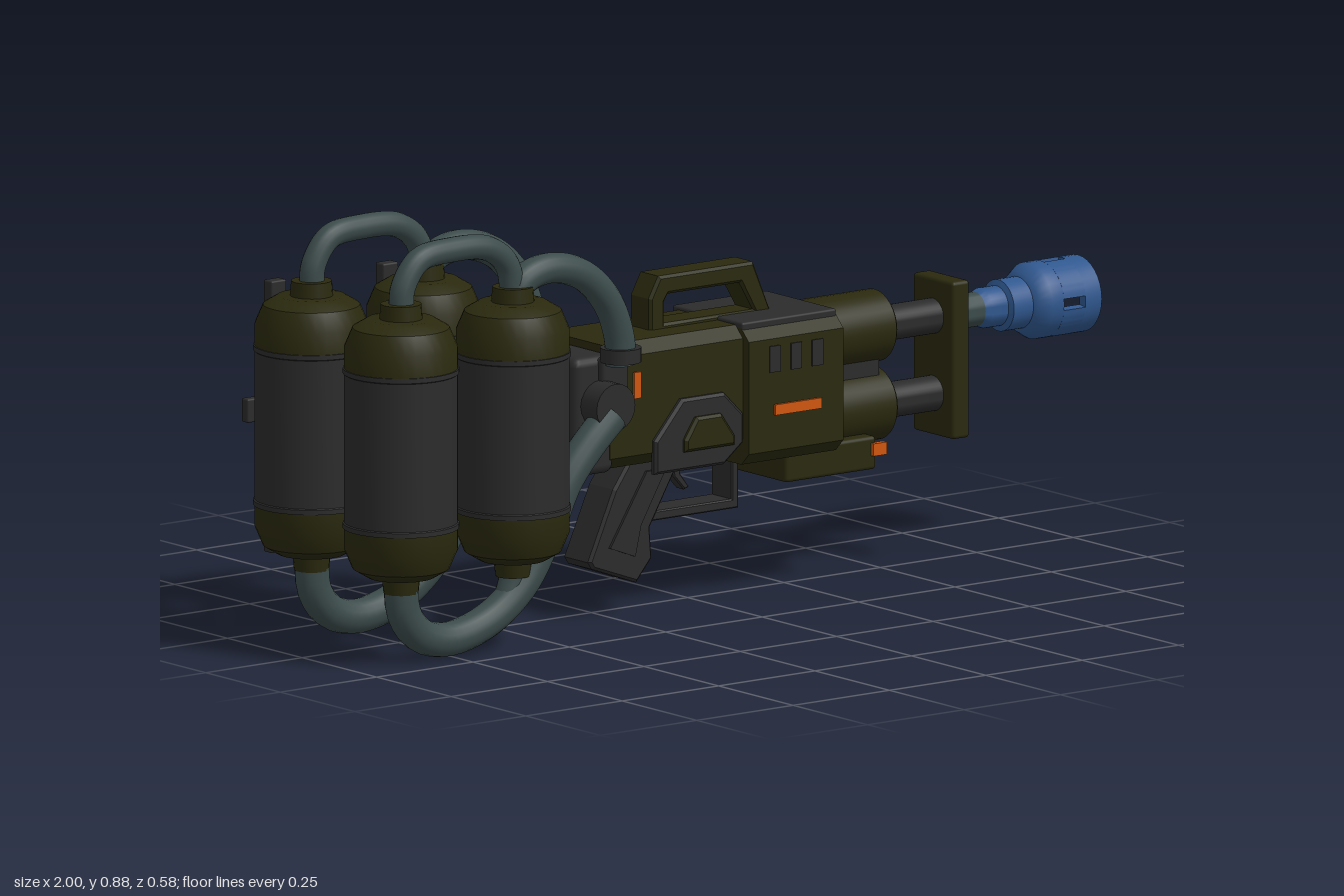
import * as THREE from 'three';
import { toCreasedNormals } from 'three/addons/utils/BufferGeometryUtils.js';
import { RoundedBoxGeometry } from 'three/addons/geometries/RoundedBoxGeometry.js';

const mat = (name, color, side = THREE.FrontSide) =>
  Object.assign(new THREE.MeshStandardMaterial({ color, side }), { name });

export function createModel() {
  const olive = mat('olive', 0x2a290e);
  const dark = mat('dark grey', 0x2b2b2b);
  const teal = mat('hose grey', 0x3c4b4b);
  const blue = mat('nozzle blue', 0x30588f);
  const orange = mat('orange', 0xd0560f);
  const root = new THREE.Group();
  root.name = 'tankFedBlaster';
  const gun = new THREE.Group();
  gun.name = 'gun';
  gun.position.z = 0.02;
  root.add(gun);

  const add = (parent, name, geo, material) => {
    const m = new THREE.Mesh(geo, material);
    m.name = name;
    parent.add(m);
    return m;
  };
  // Box given by its x, y and z limits
  const box = (parent, name, x0, x1, y0, y1, z0, z1, material, r = 0) => {
    const s = [x1 - x0, y1 - y0, z1 - z0];
    const geo = r ? new RoundedBoxGeometry(...s, 2, r) : new THREE.BoxGeometry(...s);
    geo.translate((x0 + x1) / 2, (y0 + y1) / 2, (z0 + z1) / 2);
    return add(parent, name, geo, material);
  };
  const vecs = pts => pts.map(p => new THREE.Vector2(...p));
  // Side profile in x, y, extruded to a centred width in z
  const slab = (parent, name, pts, width, material, z = 0, hole, bevel = 0.006) => {
    const shape = new THREE.Shape(vecs(pts));
    if (hole) shape.holes.push(new THREE.Path(vecs(hole)));
    const geo = new THREE.ExtrudeGeometry(shape, {
      depth: width - 2 * bevel, bevelEnabled: bevel > 0, bevelSize: bevel,
      bevelThickness: bevel, bevelOffset: -bevel, bevelSegments: 1,
    });
    geo.translate(0, 0, z - width / 2 + bevel);
    return add(parent, name, geo, material);
  };
  // Box along x with chamfered long edges
  const chamferBlock = (name, x0, x1, y0, y1, w, c, material) => {
    const h = w / 2;
    const shape = new THREE.Shape(vecs([[-h + c, y0], [h - c, y0], [h, y0 + c], [h, y1 - c],
      [h - c, y1], [-h + c, y1], [-h, y1 - c], [-h, y0 + c]]));
    const geo = new THREE.ExtrudeGeometry(shape, { depth: x1 - x0, bevelEnabled: false });
    geo.rotateY(Math.PI / 2).translate(x0, 0, 0);
    return add(gun, name, geo, material);
  };
  const lathe = (pts, n = 32) => toCreasedNormals(new THREE.LatheGeometry(vecs(pts), n), 0.6);
  // Turned part on the x axis; points are [radius, x] from back to front
  const turned = (name, pts, y, material) =>
    add(gun, name, lathe(pts).rotateZ(-Math.PI / 2).translate(0, y, 0), material);
  const rod = (name, x0, x1, r, y, material) =>
    turned(name, [[0, x0], [r - 0.006, x0], [r, x0 + 0.006], [r, x1 - 0.006], [r - 0.006, x1], [0, x1]]
      .map(([a, b]) => [b, a].reverse()), y, material);
  const hose = (name, pts, r) => {
    const curve = new THREE.CatmullRomCurve3(pts.map(p => new THREE.Vector3(...p)));
    return add(root, name, new THREE.TubeGeometry(curve, 40, r, 16), teal);
  };

  // Tanks: two pairs, with caps, necks and hoses
  const cap = [[0, 0.187], [0.07, 0.187], [0.1, 0.205], [0.117, 0.245], [0.117, 0.302]];
  const flipped = cap.map(([r, y]) => [r, 0.914 - y]).reverse();
  for (const z of [0.17, -0.13]) {
    for (const x of [-0.875, -0.585]) {
      const tank = new THREE.Group();
      tank.name = 'tank';
      tank.position.set(x, 0, z);
      root.add(tank);
      add(tank, 'tankBottomCap', lathe(cap), olive);
      add(tank, 'tankTopCap', lathe(flipped), olive);
      add(tank, 'tankBody', lathe([[0.112, 0.29], [0.12, 0.29], [0.12, 0.3], [0.117, 0.302],
        [0.117, 0.612], [0.12, 0.614], [0.12, 0.624], [0.112, 0.624]]), dark);
      add(tank, 'tankTopNeck', new THREE.CylinderGeometry(0.042, 0.045, 0.04, 20).translate(0, 0.738, 0), olive);
      add(tank, 'tankBottomNeck', new THREE.CylinderGeometry(0.04, 0.036, 0.04, 20).translate(0, 0.172, 0), olive);
    }
    hose('topLinkHose', [[-0.875, 0.74, z], [-0.87, 0.79, z], [-0.83, 0.842, z], [-0.75, 0.854, z],
      [-0.65, 0.845, z], [-0.6, 0.805, z], [-0.585, 0.74, z]], 0.026);
    hose('upperFeedHose', [[-0.585, 0.72, z], [-0.565, 0.762, z], [-0.5, 0.784, z], [-0.41, 0.762, z],
      [-0.34, 0.695, z], [-0.31, 0.62, z], [-0.305, 0.56, z]], 0.032);
    hose('lowerFeedHose', [[-0.875, 0.17, z], [-0.868, 0.11, z], [-0.83, 0.06, z], [-0.76, 0.04, z],
      [-0.65, 0.067, z], [-0.56, 0.135, z], [-0.5, 0.23, z], [-0.45, 0.33, z], [-0.39, 0.4, z],
      [-0.33, 0.455, z]], 0.036);
    hose('lowerBranchHose', [[-0.585, 0.18, z], [-0.587, 0.15, z], [-0.6, 0.11, z]], 0.027);
    add(root, 'upperHoseCollar', new THREE.CylinderGeometry(0.043, 0.043, 0.03, 20)
      .translate(-0.305, 0.58, z), dark);
    const s = Math.sign(z);
    add(root, 'lowerHoseSocket', new THREE.CylinderGeometry(0.05, 0.05, 0.07, 20)
      .rotateX(Math.PI / 2).translate(-0.335, 0.475, z - s * 0.012), dark);
    box(root, 'upperHoseBracket', -0.34, -0.27, 0.5, 0.57, z - s * 0.045 - 0.03, z - s * 0.045 + 0.03, dark, 0.008);
  }

  // Carrying frame behind the tanks
  for (const x of [-0.875, -0.585]) {
    box(root, 'frameUpright', x - 0.02, x + 0.02, 0.17, 0.74, -0.266, -0.238, dark, 0.004);
    add(root, 'frameBolt', new THREE.CylinderGeometry(0.012, 0.012, 0.014, 12)
      .rotateX(Math.PI / 2).translate(x, 0.47, -0.284), dark);
  }
  box(root, 'frameCrossbar', -0.94, -0.52, 0.445, 0.495, -0.282, -0.26, dark, 0.004);

  // Receiver, rear pad and front housing
  box(gun, 'rearPad', -0.4, -0.295, 0.325, 0.575, -0.12, 0.12, dark, 0.02);
  chamferBlock('receiver', -0.31, 0.05, 0.33, 0.59, 0.24, 0.025, olive);
  chamferBlock('housing', 0.035, 0.28, 0.3, 0.585, 0.28, 0.025, olive);
  box(gun, 'housingTop', 0.035, 0.28, 0.568, 0.597, -0.118, 0.118, dark, 0.005);
  for (const s of [1, -1]) {
    slab(gun, 'sidePlate', [[-0.2, 0.31], [-0.02, 0.31], [0.03, 0.35], [0.03, 0.41], [-0.02, 0.46],
      [-0.13, 0.46], [-0.2, 0.38]], 0.02, dark, s * 0.122);
    slab(gun, 'sideBoss', [[-0.13, 0.35], [0.0, 0.35], [0.0, 0.37], [-0.035, 0.42], [-0.1, 0.42], [-0.13, 0.375]],
      0.03, olive, s * 0.128);
    box(gun, 'rearMarker', -0.25, -0.232, 0.475, 0.53, s * 0.121 - 0.004, s * 0.121 + 0.004, orange);
    box(gun, 'sideMarker', 0.1, 0.22, 0.4, 0.422, s * 0.142 - 0.004, s * 0.142 + 0.004, orange);
    for (let i = 0; i < 3; i++) {
      const x = 0.088 + i * 0.055;
      box(gun, 'ventSlot', x, x + 0.028, 0.49, 0.545, s * 0.14 - 0.003, s * 0.14 + 0.003, dark);
    }
    // Grip inset
    slab(gun, 'gripPanel', [[-0.16, 0.3], [-0.255, 0.15], [-0.19, 0.125], [-0.175, 0.19], [-0.11, 0.3]],
      0.008, dark, s * 0.047, null, 0);
  }

  // Carry handle, grip, trigger and guard
  slab(gun, 'carryHandle', [[-0.14, 0.58], [0.18, 0.58], [0.13, 0.7], [-0.115, 0.7], [-0.14, 0.655]], 0.07, olive, 0,
    [[-0.1, 0.6], [-0.1, 0.645], [-0.09, 0.66], [0.095, 0.66], [0.13, 0.6]]);
  slab(gun, 'grip', [[-0.19, 0.34], [-0.24, 0.27], [-0.305, 0.125], [-0.295, 0.11], [-0.18, 0.068], [-0.14, 0.115],
    [-0.145, 0.18], [-0.08, 0.29], [-0.08, 0.34]], 0.09, dark);
  slab(gun, 'triggerGuard', [[-0.15, 0.19], [0.09, 0.19], [0.09, 0.33], [-0.12, 0.33]], 0.07, dark, 0,
    [[-0.12, 0.21], [0.072, 0.21], [0.072, 0.31], [-0.1, 0.31]], 0.003);
  slab(gun, 'trigger', [[-0.075, 0.32], [-0.04, 0.32], [-0.045, 0.275], [-0.022, 0.245], [-0.035, 0.24], [-0.062, 0.27]],
    0.03, dark, 0, null, 0.003);

  // Twin barrels, front plate and underslung box
  for (const [y, r] of [[0.52, 0.075], [0.358, 0.077]]) {
    rod('barrelSleeve', 0.27, 0.475, r, y, olive);
    rod('barrelRod', 0.46, 0.63, 0.037, y, dark);
  }
  box(gun, 'barrelBridge', 0.27, 0.45, 0.36, 0.52, -0.04, 0.04, dark);
  box(gun, 'frontPlate', 0.62, 0.665, 0.27, 0.6, -0.068, 0.068, olive, 0.008);
  box(gun, 'underBox', 0.17, 0.405, 0.24, 0.31, -0.09, 0.09, olive, 0.008);
  box(gun, 'underMarker', 0.39, 0.425, 0.27, 0.296, 0.085, 0.099, orange);

  // Nozzle: neck, stepped base and a slotted cup
  rod('nozzleNeck', 0.66, 0.74, 0.036, 0.52, teal);
  turned('nozzleBase', [[0, 0.73], [0.036, 0.73], [0.042, 0.745], [0.042, 0.785], [0.054, 0.79], [0.054, 0.84],
    [0.064, 0.845], [0.08, 0.87], [0.08, 0.9], [0.06, 0.9], [0.06, 0.875], [0, 0.875]], 0.52, blue);
  turned('nozzleRim', [[0.06, 0.955], [0.08, 0.955], [0.08, 0.997], [0.077, 1], [0.063, 1], [0.06, 0.997],
    [0.06, 0.955]], 0.52, blue);
  for (let i = 0; i < 4; i++) {
    const a = i * Math.PI / 2 + 0.15, b = (i + 1) * Math.PI / 2 - 0.15;
    const shape = new THREE.Shape();
    shape.absarc(0, 0, 0.08, a, b, false);
    shape.absarc(0, 0, 0.06, b, a, true);
    const geo = new THREE.ExtrudeGeometry(shape, { depth: 0.056, bevelEnabled: false, curveSegments: 8 });
    add(gun, 'nozzleWall', toCreasedNormals(geo.rotateY(Math.PI / 2).translate(0.9, 0.52, 0), 0.6), blue);
  }
  return root;
}
